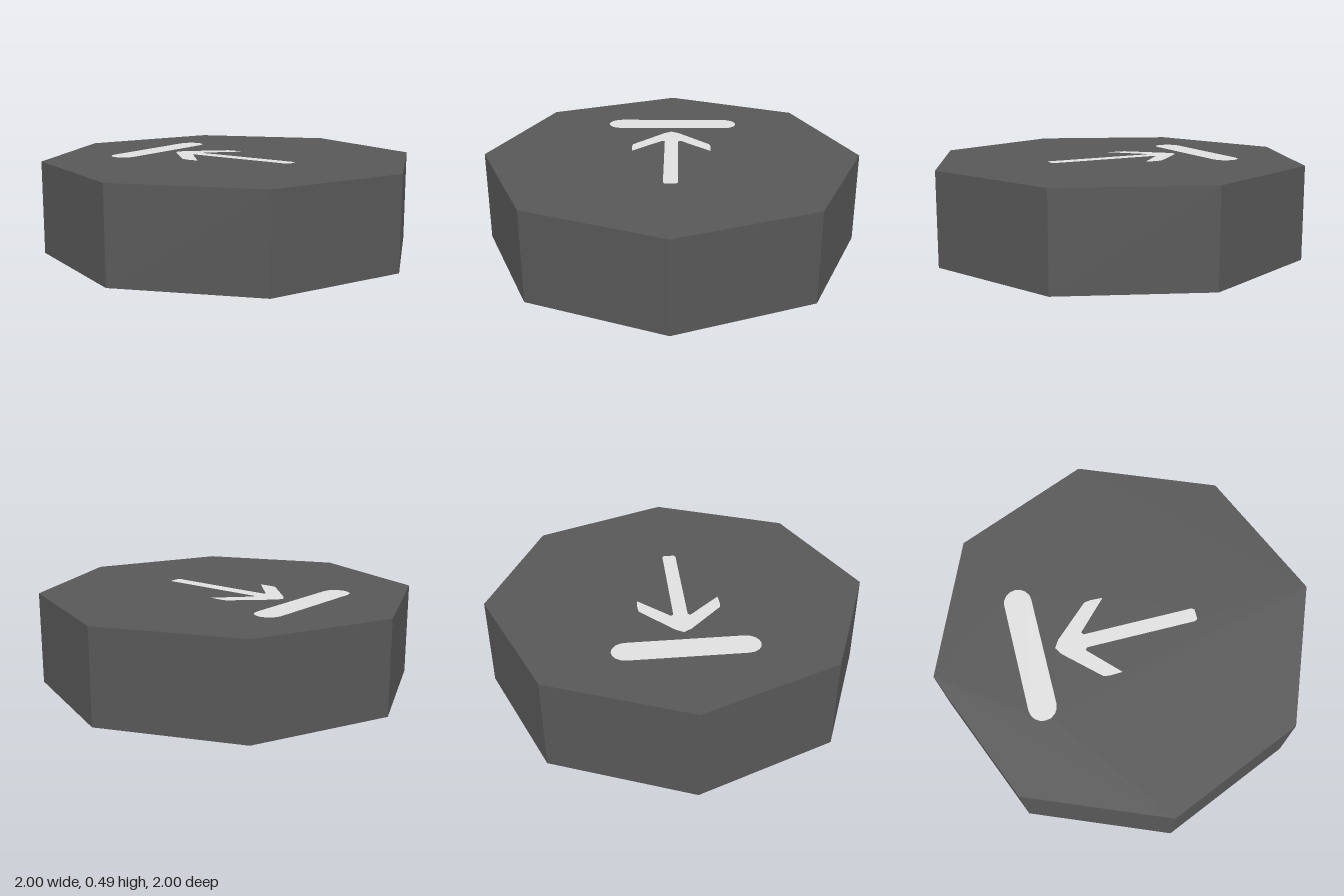
import * as THREE from 'three';

const HEIGHT = 0.49;

// Upright capsule outline
function barOutline() {
  const points = [];
  const cx = -0.4975, r = 0.0725, half = 0.295, steps = 8;
  for (const side of [0, 1]) {
    for (let i = 0; i <= steps; i++) {
      const a = Math.PI * (side + i / steps);
      points.push(new THREE.Vector2(cx + r * Math.cos(a), (side ? -half : half) + r * Math.sin(a)));
    }
  }
  return points;
}

// Arrow outline: upper half listed from tip to tail, then mirrored
function arrowOutline() {
  const half = [[-0.34, 0.04], [-0.16, 0.21], [-0.125, 0.215], [-0.06, 0.212], [-0.105, 0.165],
    [-0.215, 0.05], [-0.205, 0.037], [0.375, 0.037], [0.39, 0.028]];
  const outline = [[-0.365, 0], ...half, ...half.map(([x, y]) => [x, -y]).reverse()];
  return outline.map(([x, y]) => new THREE.Vector2(x, y - 0.003));
}

export function createModel() {
  const model = new THREE.Group();
  const charcoal = new THREE.MeshStandardMaterial({ color: 0x585858, side: THREE.DoubleSide, flatShading: true });
  charcoal.name = 'charcoal';
  const paleGrey = new THREE.MeshStandardMaterial({ color: 0xe0e0e0, side: THREE.DoubleSide });
  paleGrey.name = 'paleGrey';

  const add = (name, geometry, material) => {
    const mesh = new THREE.Mesh(geometry, material);
    mesh.name = name;
    model.add(mesh);
  };
  // Flat sheet lying at the top of the shell
  const sheet = (shape) => new THREE.ShapeGeometry(shape).rotateX(-Math.PI / 2).translate(0, HEIGHT, 0);

  // Thin eight-sided wall, open underneath
  add('sideWall', new THREE.CylinderGeometry(1, 1, HEIGHT, 8, 1, true).translate(0, HEIGHT / 2, 0), charcoal);

  // Top face with the symbol cut out
  const octagon = [];
  for (let i = 0; i < 8; i++) {
    octagon.push(new THREE.Vector2(Math.cos(i * Math.PI / 4), Math.sin(i * Math.PI / 4)));
  }
  const top = new THREE.Shape(octagon);
  const bar = barOutline(), arrow = arrowOutline();
  top.holes.push(new THREE.Path(bar), new THREE.Path(arrow));
  add('topFace', sheet(top), charcoal);

  // Symbol set flush in the top, seen from both sides
  add('barSymbol', sheet(new THREE.Shape(bar)), paleGrey);
  add('arrowSymbol', sheet(new THREE.Shape(arrow)), paleGrey);

  return model;
}
